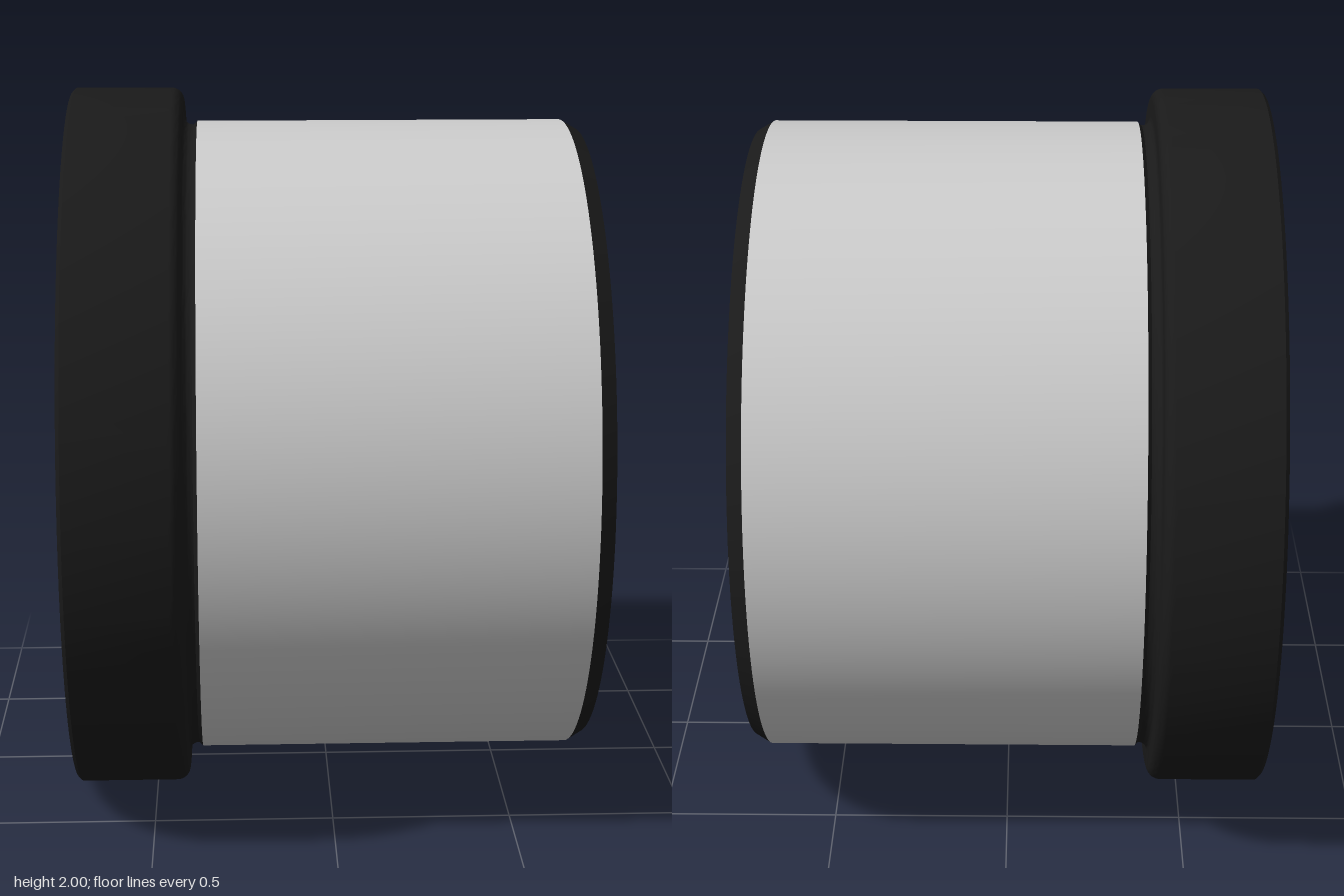
import * as THREE from 'three';
import { toCreasedNormals } from 'three/addons/utils/BufferGeometryUtils.js';

const SEGMENTS = 128;

// Points of a rounded corner: centre (r, x), radius, start and end angle in degrees
function arc(r, x, radius, from, to, steps = 8) {
  return Array.from({ length: steps + 1 }, (_, i) => {
    const a = THREE.MathUtils.degToRad(from + ((to - from) * i) / steps);
    return [r + radius * Math.cos(a), x + radius * Math.sin(a)];
  });
}

// Turned part: profile of [radius, position along x], revolved about the x axis
function turned(name, profile, color) {
  const points = profile.map(([r, x]) => new THREE.Vector2(r, x));
  let geometry = new THREE.LatheGeometry(points, SEGMENTS);
  geometry.rotateZ(-Math.PI / 2);
  geometry = toCreasedNormals(geometry, Math.PI / 7);
  const mesh = new THREE.Mesh(geometry, new THREE.MeshStandardMaterial({ color }));
  mesh.name = name;
  mesh.position.y = 1;
  return mesh;
}

export function createModel() {
  const group = new THREE.Group();
  group.name = 'flangedBushing';

  const sleeveRadius = 0.905, sleeveStart = -0.365, sleeveEnd = 0.675;

  // Bright ground sleeve surface
  group.add(turned('sleeve', [[sleeveRadius, sleeveStart], [sleeveRadius, sleeveEnd]], 0xcccccc));

  // Dark body: end chamfer, rounded mouth, stepped bore, flange and relief groove
  group.add(turned('flangedBody', [
    [sleeveRadius, sleeveEnd],
    [0.88, 0.717],
    // rounded mouth into the narrow throat
    ...arc(0.562, 0.617, 0.1, 90, 180, 10),
    [0.462, 0.52],
    // wide bore behind the throat
    [0.55, 0.47],
    [0.55, -0.705],
    [0.562, -0.717],
    // flange
    [0.99, -0.717],
    [1, -0.707],
    ...arc(0.965, -0.438, 0.035, 0, 90),
    // relief groove under the flange
    ...arc(0.92, -0.378, 0.025, 270, 180),
    [0.895, -0.375],
    [sleeveRadius, sleeveStart],
  ], 0x1a1a1a));

  return group;
}
